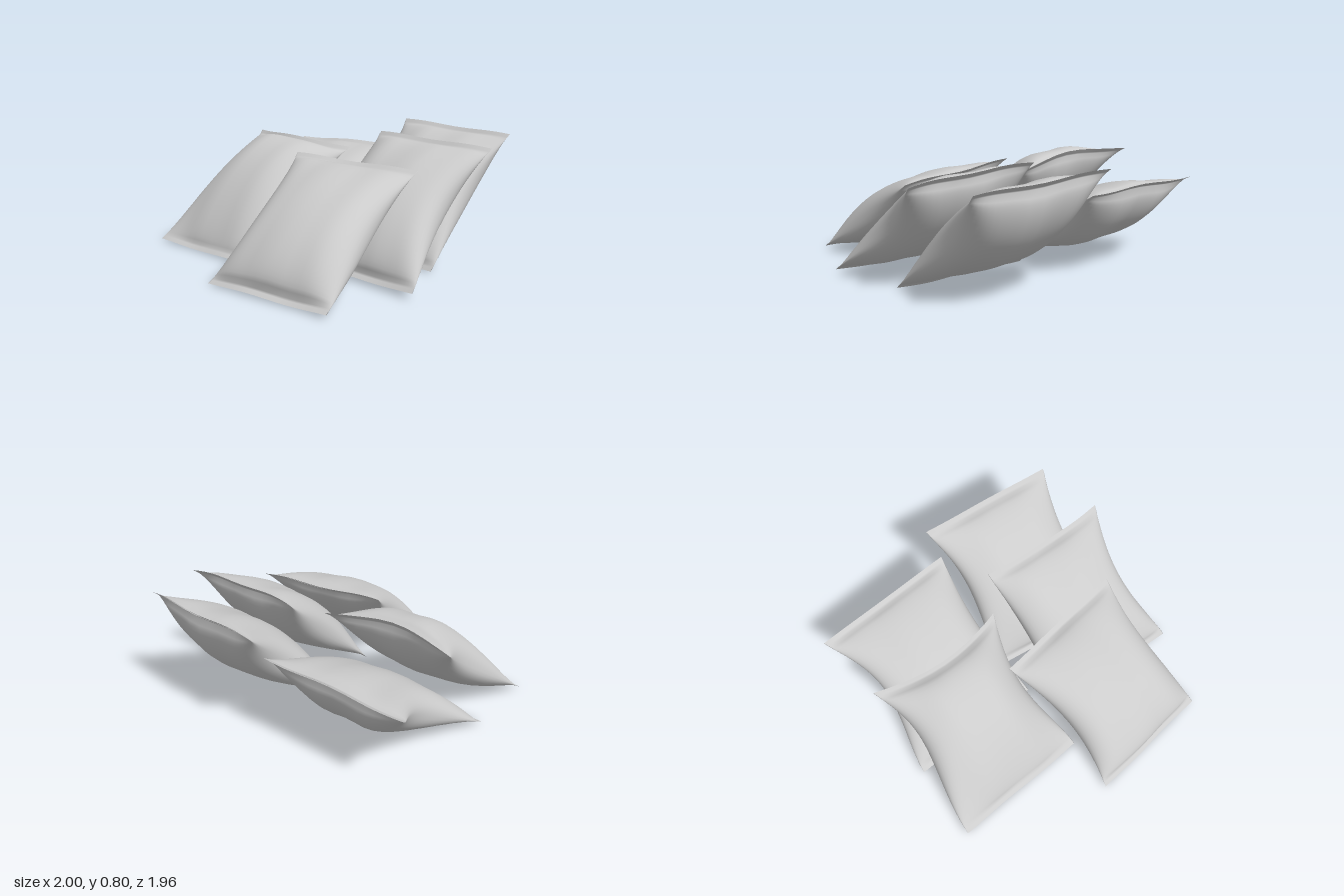
import * as THREE from 'three';

const AROUND = 48, ROWS = 40;

// Each bag: corners of its sealed edges (bottom left, bottom right, top left, top right),
// waist pinch of the left and right side and bulge of the front and back as [depth, peak height],
// and how far the middle of the top seal slumps forward
const BAGS = [
  { name: 'frontRightBag', corners: [[-0.07, 0.02, 0.98], [0.81, 0.03, 0.91], [-0.18, 0.67, 0.07], [0.73, 0.65, -0.02]],
    left: [0.085, 0.47], right: [0.045, 0.62], front: [0.17, 0.45], back: [0.145, 0.5], slump: 0 },
  { name: 'frontLeftBag', corners: [[-1, 0.02, 0.62], [-0.04, 0.02, 0.61], [-0.94, 0.71, -0.33], [-0.02, 0.68, -0.29]],
    left: [0.09, 0.66], right: [0.1, 0.58], front: [0.195, 0.6], back: [0.14, 0.55], slump: 0.09 },
  { name: 'middleRightBag', corners: [[0.08, 0.02, 0.34], [1, 0.05, 0.4], [0.1, 0.78, -0.49], [0.99, 0.76, -0.45]],
    left: [0.035, 0.5], right: [0.095, 0.55], front: [0.165, 0.5], back: [0.16, 0.57], slump: 0.03 },
  { name: 'backLeftBag', corners: [[-0.98, 0.02, 0.1], [-0.04, 0.02, 0.1], [-0.99, 0.59, -0.86], [-0.02, 0.63, -0.86]],
    left: [0.13, 0.58], right: [0.05, 0.55], front: [0.145, 0.5], back: [0.19, 0.62], slump: 0 },
  { name: 'backRightBag', corners: [[-0.08, 0.02, -0.17], [0.83, 0.02, -0.05], [-0.03, 0.81, -0.98], [0.89, 0.79, -0.88]],
    left: [0.075, 0.6], right: [0.06, 0.6], front: [0.165, 0.5], back: [0.185, 0.62], slump: 0 },
];

const spow = (v, e) => Math.sign(v) * Math.abs(v) ** e;

// Hump from 0 up to the given depth at s = peak and back to 0; a lower power is fuller
const hump = (s, [depth, peak], power) =>
  depth * Math.max(0, Math.sin(Math.PI * s ** (Math.log(0.5) / Math.log(peak)))) ** power;

// Pillow bag: rings swept from the bottom seal to the top seal
function bagGeometry(spec, seed) {
  const [bl, br, tl, tr] = spec.corners.map((p) => new THREE.Vector3(...p));
  const across = br.clone().sub(bl).add(tr).sub(tl).normalize();
  const along = tl.clone().sub(bl).add(tr).sub(br).normalize();
  const normal = across.clone().cross(along).normalize();
  const forward = new THREE.Vector3(0, 0.25, 1);
  const seal = 0.04;
  const pos = [], index = [];

  for (let j = 0; j <= ROWS; j++) {
    const v = 0.5 - 0.5 * Math.cos((Math.PI * j) / ROWS);
    const s = THREE.MathUtils.clamp((v - seal) / (1 - 2 * seal), 0, 1);
    const fill = hump(s, [1, 0.5], 0.55);
    const left = bl.clone().lerp(tl, v).addScaledVector(across, hump(v, spec.left, 1.1));
    const right = br.clone().lerp(tr, v).addScaledVector(across, -hump(v, spec.right, 1.1));
    const depthFront = hump(s, spec.front, 0.55);
    const depthBack = hump(s, spec.back, 0.55);

    for (let i = 0; i < AROUND; i++) {
      const a = (2 * Math.PI * i) / AROUND;
      const u = spow(Math.cos(a), 0.75);
      // thin, pointed sides at the seals and round sides at the belly
      const n = spow(Math.sin(a), 1.35 - 0.47 * fill);
      const crease = 0.005 * fill * (1 - 0.8 * fill) * 4 * Math.sin(u * 8 + seed * 2.1) +
        0.003 * fill * Math.sin(u * 4 - v * 7 + seed * 1.7);
      const wave = 0.007 * (1 - fill) * Math.sin(u * 4.5 + seed * 3 + v * 2);
      const depth = 0.003 + (n > 0 ? depthFront : depthBack);
      const p = left.clone().lerp(right, (u + 1) / 2)
        .addScaledVector(normal, n * depth + crease * Math.abs(n) + wave)
        .addScaledVector(forward, spec.slump * v ** 4 * (1 - u * u));
      p.y = Math.max(p.y, 0.005 + 0.025 * fill);
      pos.push(p.x, p.y, p.z);
    }
  }
  for (let j = 0; j < ROWS; j++) {
    for (let i = 0; i < AROUND; i++) {
      const k = (i + 1) % AROUND, r = j * AROUND, q = r + AROUND;
      index.push(r + i, q + i, r + k, r + k, q + i, q + k);
    }
  }
  const g = new THREE.BufferGeometry();
  g.setAttribute('position', new THREE.Float32BufferAttribute(pos, 3));
  g.setIndex(index);
  g.computeVertexNormals();
  return g;
}

export function createModel() {
  const group = new THREE.Group();
  group.name = 'bagPile';
  const material = new THREE.MeshStandardMaterial({ color: 0xcccccc, side: THREE.DoubleSide });
  BAGS.forEach((spec, i) => {
    const bag = new THREE.Mesh(bagGeometry(spec, i + 1), material);
    bag.name = spec.name;
    group.add(bag);
  });
  return group;
}
